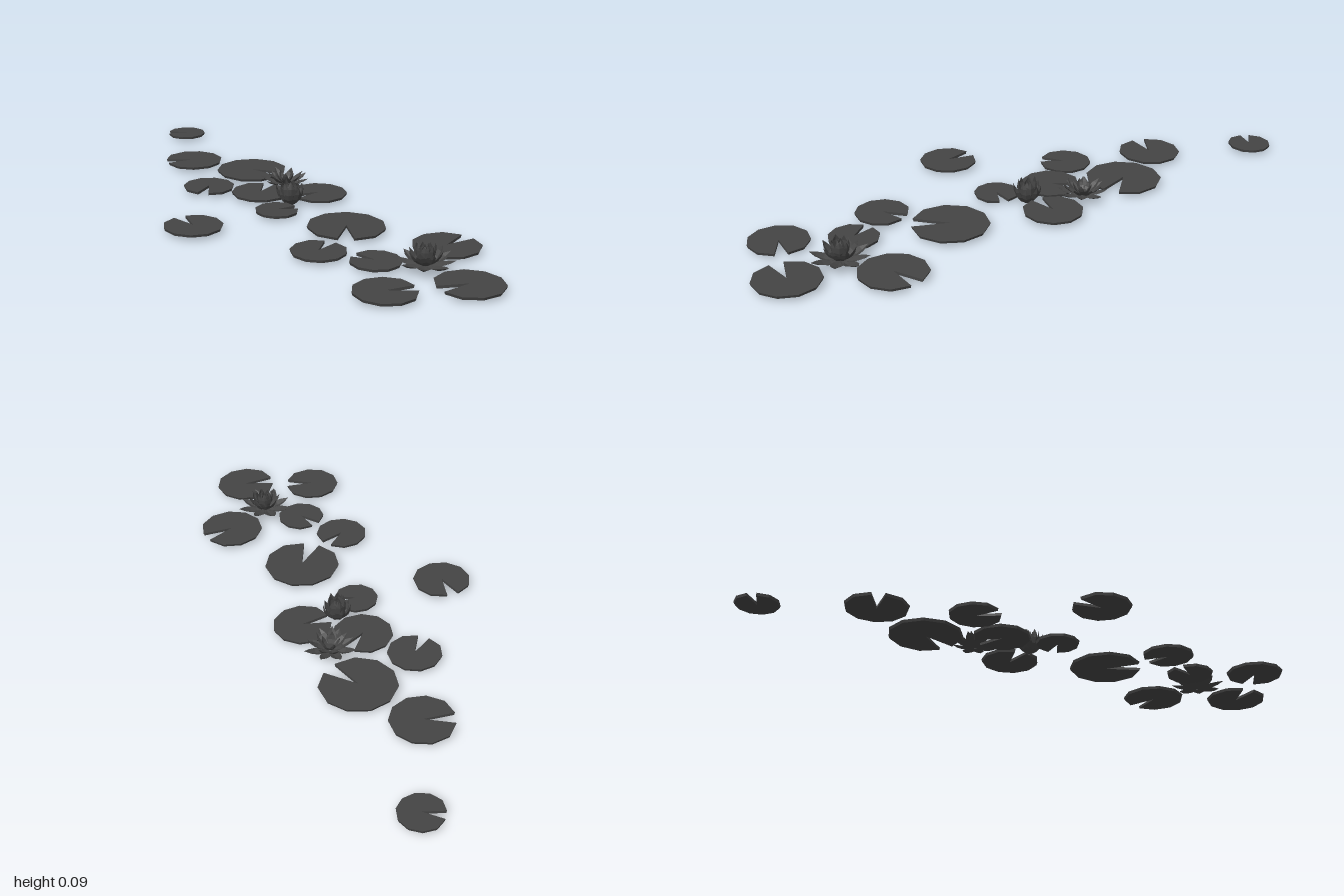
import * as THREE from 'three';

const material = new THREE.MeshStandardMaterial({ color: 0x444444, flatShading: true, side: THREE.DoubleSide });
const rad = THREE.MathUtils.degToRad;

// Notched ten-sided leaf; the notch points along (dx, dz)
function lilyPad(x, z, r, dx, dz, top) {
  const start = Math.atan2(dz, dx), half = rad(13), sides = 10;
  const shape = new THREE.Shape();
  shape.moveTo(0, 0);
  for (let i = 0; i <= sides; i++) {
    const a = start + half + (i / sides) * (Math.PI * 2 - half * 2);
    const k = i === 0 || i === sides ? 0.95 : 1;
    shape.lineTo(Math.cos(a) * r * k, Math.sin(a) * r * k);
  }
  shape.closePath();
  const geometry = new THREE.ExtrudeGeometry(shape, { depth: 0.009, bevelEnabled: false });
  geometry.rotateX(Math.PI / 2);
  // Underside draws in slightly
  const p = geometry.attributes.position;
  for (let i = 0; i < p.count; i++) {
    if (p.getY(i) < -0.004) p.setXYZ(i, p.getX(i) * 0.97, p.getY(i), p.getZ(i) * 0.97);
  }
  geometry.computeVertexNormals();
  const mesh = new THREE.Mesh(geometry, material);
  mesh.name = 'lilyPad';
  mesh.position.set(x, top, z);
  return mesh;
}

// Pointed, keeled petal growing along +x, its slope easing from e0 to e1 degrees
function petalGeometry(length, width, e0, e1) {
  const widths = [0.3, 0.8, 1, 0.7, 0], rows = widths.length - 1;
  const points = [], index = [];
  let x = 0.006, y = 0;
  widths.forEach((w, i) => {
    const e = rad(e0 + (e1 - e0) * i / rows), h = w * width / 2;
    if (i > 0) {
      x += Math.cos(e) * length / rows;
      y += Math.sin(e) * length / rows;
    }
    const keel = h * 0.4;
    points.push(x, y, -h, x + Math.sin(e) * keel, y - Math.cos(e) * keel, 0, x, y, h);
    if (i === rows) return;
    for (let j = 0; j < 2; j++) {
      const a = i * 3 + j, b = a + 1, c = a + 3, d = a + 4;
      index.push(a, b, c);
      if (i < rows - 1) index.push(b, d, c);
      else if (j === 0) index.push(b, d, c);
      else index.push(b, d + 0, c);
    }
  });
  const geometry = new THREE.BufferGeometry();
  geometry.setAttribute('position', new THREE.Float32BufferAttribute(points, 3));
  geometry.setIndex(index);
  geometry.computeVertexNormals();
  return geometry;
}

// Rings: [petal count, length, width, start slope, end slope]
function flower(name, x, y, z, rings) {
  const group = new THREE.Group();
  group.name = name;
  group.position.set(x, y, z);
  rings.forEach(([count, length, width, e0, e1], ring) => {
    const geometry = petalGeometry(length, width, e0, e1);
    for (let i = 0; i < count; i++) {
      const petal = new THREE.Mesh(geometry, material);
      petal.name = 'petal';
      petal.rotation.y = (i + ring * 0.5) / count * Math.PI * 2 + ring * 0.15;
      petal.scale.setScalar(1 - 0.1 * ((i * 2 + ring) % 3) / 2);
      group.add(petal);
    }
  });
  // Small cup holding the petals
  const cup = new THREE.Mesh(new THREE.CylinderGeometry(0.014, 0.007, 0.012, 7), material);
  cup.name = 'flowerCup';
  cup.position.y = 0.006;
  group.add(cup);
  return group;
}

export function createModel() {
  const model = new THREE.Group();
  model.name = 'waterLilies';

  // Pads: x, z, radius, notch direction x and z
  const pads = [
    [0.275, -0.925, 0.074, -1, -0.7],
    [0.10, -0.59, 0.107, -1, -0.4],
    [0.21, -0.36, 0.128, 0.5, 1],
    [-0.02, -0.295, 0.09, -0.7, 0.65],
    [0.09, -0.135, 0.10, 1, -0.7],
    [0.25, -0.01, 0.10, -1, -0.1],
    [0.03, 0.05, 0.075, 1, 0.3],
    [-0.283, 0.02, 0.099, 0.05, -1],
    [0.12, 0.31, 0.13, -0.65, 0.8],
    [-0.085, 0.43, 0.09, 1, -0.5],
    [0.005, 0.595, 0.083, -0.4, -1],
    [0.268, 0.625, 0.111, 1, -0.15],
    [-0.12, 0.79, 0.10, 1, 0.45],
    [0.11, 0.892, 0.108, -1, -0.2],
  ];
  pads.forEach((pad, i) => model.add(lilyPad(...pad, 0.018 + (i % 3) * 0.001)));

  // Full bloom with spreading outer petals
  model.add(flower('fullBloom', 0.105, 0.016, 0.705, [
    [8, 0.1, 0.045, 4, 18],
    [8, 0.078, 0.036, 25, 60],
    [7, 0.077, 0.034, 50, 85],
    [5, 0.07, 0.026, 70, 100],
  ]));
  // Upright, half-closed bloom
  model.add(flower('uprightBloom', 0.125, 0, -0.005, [
    [8, 0.085, 0.036, 30, 75],
    [7, 0.092, 0.036, 50, 90],
    [5, 0.085, 0.028, 70, 100],
  ]));
  // Wide open, flat bloom
  model.add(flower('openBloom', 0.22, 0.018, -0.165, [
    [8, 0.088, 0.036, 2, 22],
    [7, 0.075, 0.032, 18, 42],
    [5, 0.055, 0.024, 40, 70],
  ]));
  return model;
}
